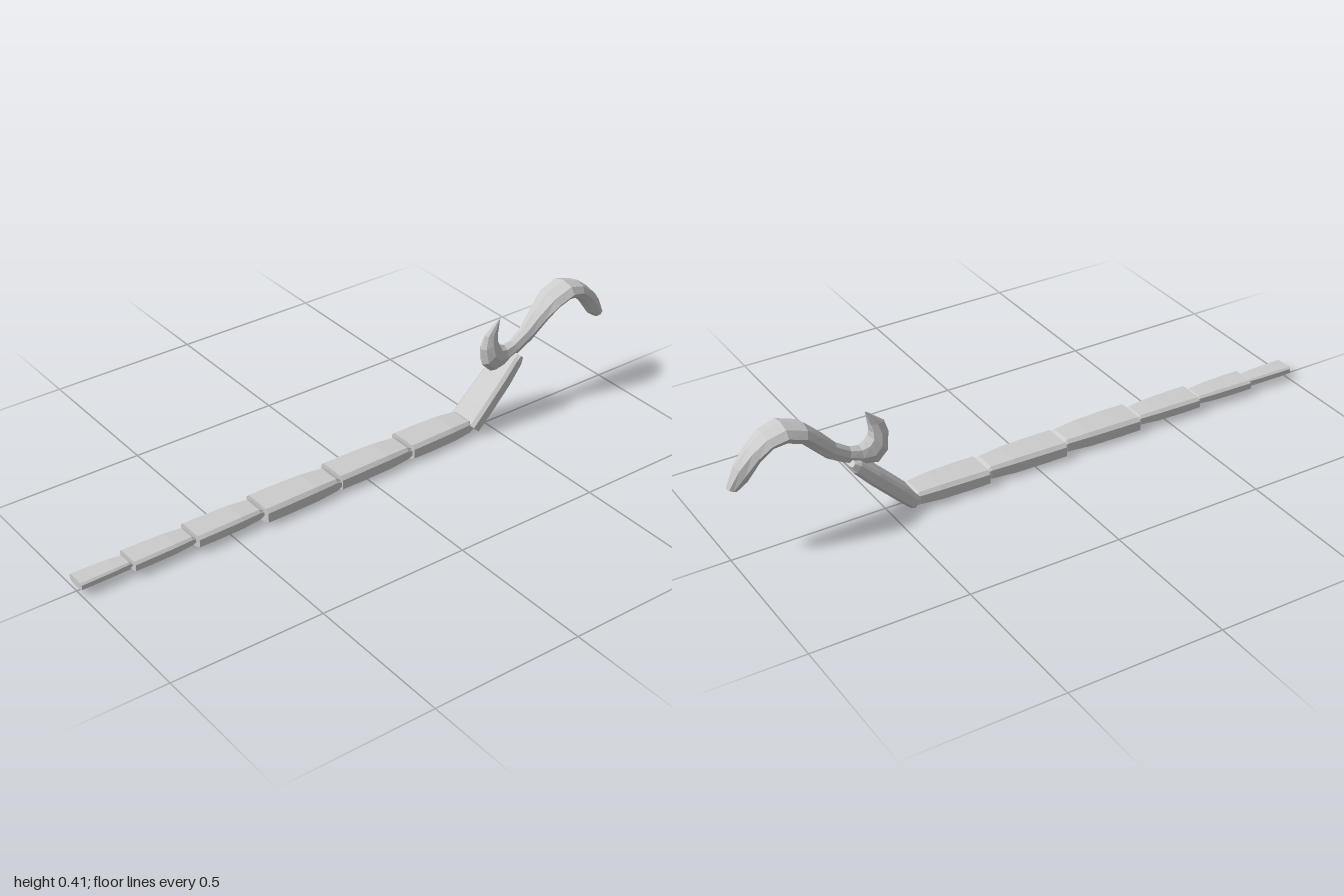
import * as THREE from 'three';

const material = new THREE.MeshStandardMaterial({ color: 0xcccccc, flatShading: true });

// Skins a closed solid over rings of points (clockwise seen from the first ring's end)
function loft(name, rings) {
  const n = rings[0].length, pos = [], idx = [];
  rings.forEach(r => r.forEach(p => pos.push(...p)));
  for (let j = 0; j < rings.length - 1; j++) {
    for (let k = 0; k < n; k++) {
      const a = j * n + k, b = j * n + (k + 1) % n;
      idx.push(a, b, a + n, b, b + n, a + n);
    }
  }
  const last = (rings.length - 1) * n;
  for (let k = 1; k < n - 1; k++) {
    idx.push(0, k + 1, k);
    idx.push(last, last + k, last + k + 1);
  }
  const indexed = new THREE.BufferGeometry();
  indexed.setAttribute('position', new THREE.Float32BufferAttribute(pos, 3));
  indexed.setIndex(idx);
  const geo = indexed.toNonIndexed();
  geo.computeVertexNormals();
  const mesh = new THREE.Mesh(geo, material);
  mesh.name = name;
  return mesh;
}

// Chamfered plate outline, clockwise from top left
const plate = [[-0.78, 1], [0.78, 1], [0.98, 0.6], [1, -0.55], [0.65, -1], [-0.65, -1], [-1, -0.55], [-0.98, 0.6]];

// One link: full at the front, narrowing to a blunt wedge at the back
function link(name, length, hw, hh) {
  const stations = [[0, 1, 0.95], [0.25, 0.99, 1], [0.65, 0.93, 1], [0.92, 0.8, 0.85], [1, 0.72, 0.4]];
  return loft(name, stations.map(([t, w, h]) =>
    plate.map(([x, y]) => [x * w * hw, y * h * hh, -t * length])));
}

export function createModel() {
  const group = new THREE.Group();

  // Straight run of links: front z, back z, half width, half height, centre x
  [
    [1.0, 0.825, 0.035, 0.013, 0],
    [0.83, 0.615, 0.045, 0.018, 0.001],
    [0.62, 0.38, 0.052, 0.022, 0.003],
    [0.385, 0.1, 0.059, 0.028, 0.005],
    [0.105, -0.18, 0.057, 0.028, -0.003],
    [-0.175, -0.43, 0.058, 0.028, -0.009],
  ].forEach(([z0, z1, hw, hh, cx], i) => {
    const m = link('link' + (i + 1), z0 - z1, hw, hh);
    m.position.set(cx, i < 3 ? 0.031 : 0.028, z0);
    group.add(m);
  });

  // Raised link carrying the hook
  const raised = link('raisedLink', 0.275, 0.058, 0.024);
  raised.position.set(-0.008, 0.024, -0.425);
  raised.rotation.x = Math.PI / 4;
  group.add(raised);

  // Curved stinger from the small barb to the drooping end:
  // upper z, upper y, lower z, lower y, half width
  const sections = [
    [-0.557, 0.36, -0.553, 0.36, 0.002],
    [-0.55, 0.315, -0.497, 0.315, 0.014],
    [-0.548, 0.295, -0.483, 0.272, 0.023],
    [-0.55, 0.28, -0.49, 0.215, 0.031],
    [-0.56, 0.265, -0.525, 0.18, 0.03],
    [-0.58, 0.255, -0.575, 0.19, 0.025],
    [-0.61, 0.26, -0.63, 0.212, 0.022],
    [-0.655, 0.29, -0.685, 0.245, 0.026],
    [-0.70, 0.34, -0.735, 0.295, 0.038],
    [-0.75, 0.388, -0.775, 0.335, 0.053],
    [-0.82, 0.413, -0.82, 0.352, 0.055],
    [-0.88, 0.395, -0.855, 0.348, 0.05],
    [-0.925, 0.36, -0.895, 0.315, 0.041],
    [-0.967, 0.315, -0.935, 0.257, 0.03],
    [-0.998, 0.25, -0.965, 0.235, 0.016],
  ];
  group.add(loft('stinger', sections.map(([zt, yt, zb, yb, hw]) =>
    Array.from({ length: 8 }, (_, k) => {
      const a = k * Math.PI / 4, c = Math.cos(a) / 2;
      return [-0.01 + hw * Math.sin(a), (yt + yb) / 2 + (yt - yb) * c, (zt + zb) / 2 + (zt - zb) * c];
    }))));

  return group;
}
